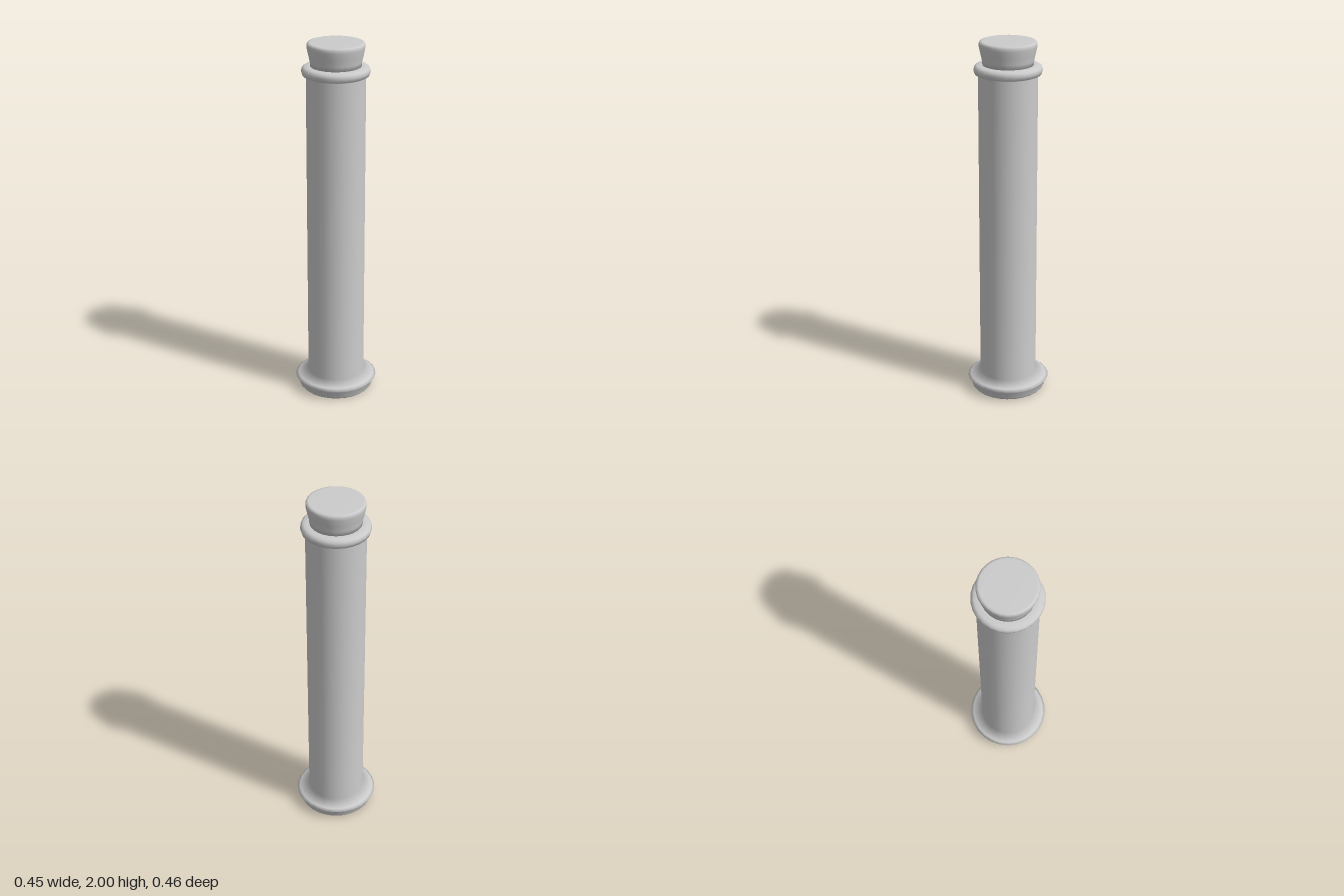
import * as THREE from 'three';

const SIDES = 26;

// Smooth turned part from [radius, height] pairs, listed from bottom to top
function turned(name, profile, material) {
  const points = profile.map(([r, y]) => new THREE.Vector2(r, y));
  const mesh = new THREE.Mesh(new THREE.LatheGeometry(points, SIDES), material);
  mesh.name = name;
  return mesh;
}

export function createModel() {
  const group = new THREE.Group();
  group.name = 'column';
  const material = new THREE.MeshStandardMaterial({ color: 0xcccccc });

  // Flared foot, straight shaft and collar ring in one continuous turning
  group.add(turned('shaftWithFootAndCollar', [
    [0, 0], [0.195, 0], [0.206, 0.012], [0.211, 0.045],
    [0.228, 0.062], [0.212, 0.073], [0.158, 0.1],
    [0.158, 1.82], [0.176, 1.828], [0.182, 1.848],
    [0.178, 1.864], [0.165, 1.873], [0.14, 1.875], [0, 1.875],
  ], material));

  // Flared cap with a rounded rim
  group.add(turned('cap', [
    [0, 1.87], [0.134, 1.87], [0.137, 1.9], [0.145, 1.935],
    [0.153, 1.973], [0.153, 1.988], [0.148, 1.997], [0.138, 2], [0, 2],
  ], material));

  return group;
}
